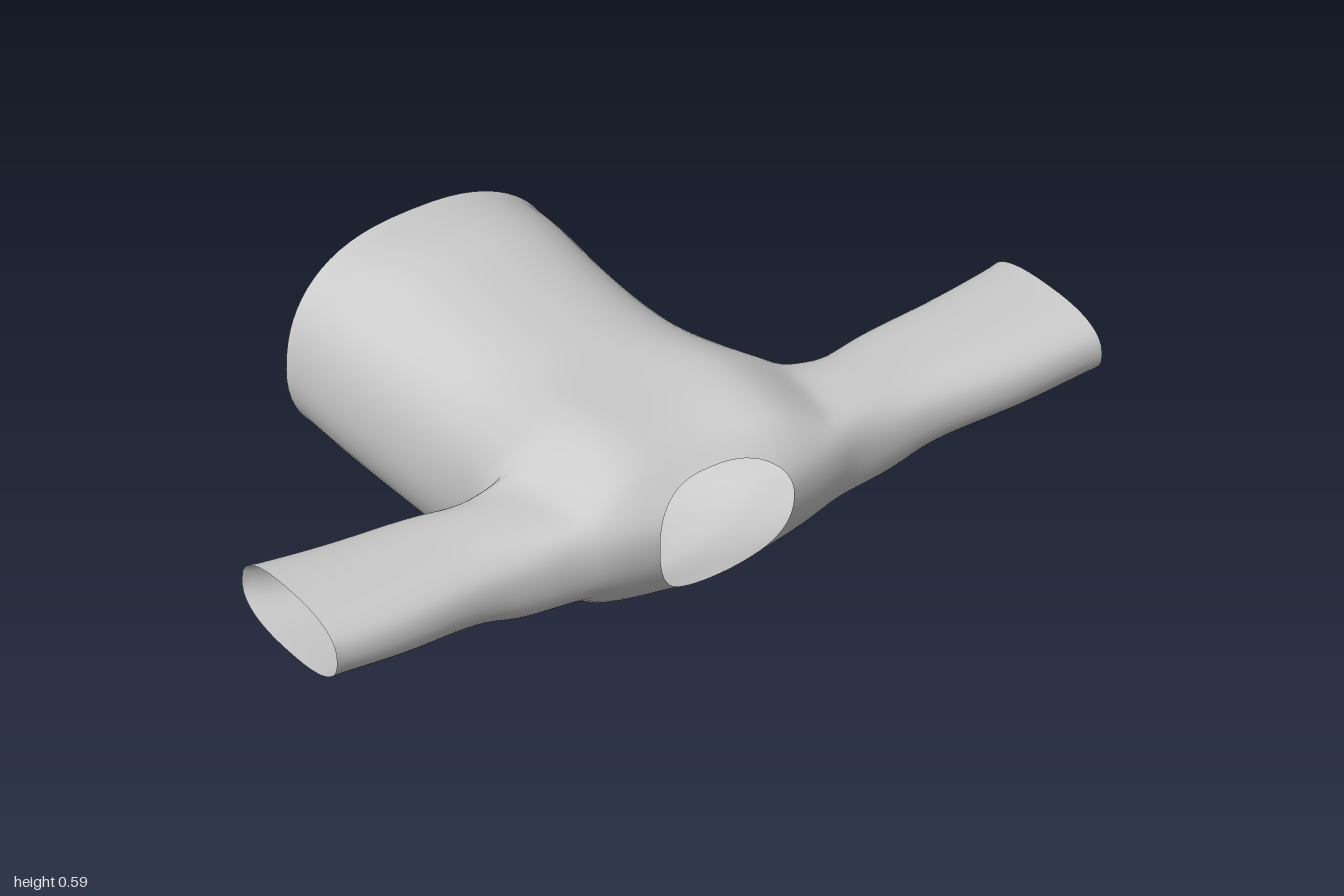
import * as THREE from 'three';

const AROUND = 64;        // segments around the torso
const STEPS = 5;          // rows between two torso sections
const SLEEVE_STEPS = 6;   // rows between two sleeve sections
const HOLE = { r0: 6 * STEPS, r1: 9 * STEPS, j0: -5, j1: 6 }; // armhole cells

// torso sections, hem to neck: x at top, side, bottom; y top, bottom, widest; half width
const TORSO = [
  [-0.585, -0.55, -0.575, 0.575, 0.05, 0.32, 0.35],
  [-0.45, -0.45, -0.45, 0.59, 0.035, 0.31, 0.345],
  [-0.30, -0.30, -0.30, 0.58, 0.01, 0.31, 0.333],
  [-0.10, -0.10, -0.10, 0.58, 0.003, 0.31, 0.325],
  [0.05, 0.05, 0.05, 0.585, 0.035, 0.33, 0.335],
  [0.17, 0.17, 0.16, 0.588, 0.075, 0.35, 0.375],
  [0.26, 0.25, 0.26, 0.588, 0.10, 0.38, 0.405],
  [0.36, 0.36, 0.33, 0.585, 0.135, 0.39, 0.395],
  [0.43, 0.46, 0.39, 0.57, 0.17, 0.40, 0.385],
  [0.48, 0.54, 0.45, 0.55, 0.205, 0.41, 0.35],
  [0.52, 0.575, 0.505, 0.53, 0.232, 0.415, 0.175],
];

// sleeve sections, armhole to cuff: z, x min, x max, y min, y max
const SLEEVE = [
  [0.47, 0.23, 0.53, 0.285, 0.507],
  [0.60, 0.205, 0.527, 0.318, 0.503],
  [0.80, 0.19, 0.545, 0.335, 0.507],
  [1.00, 0.17, 0.547, 0.355, 0.515],
];

const power = (v, e) => Math.sign(v) * Math.abs(v) ** (2 / e);

// smooth interpolation through a list of number rows
function sample(rows, t) {
  const i = Math.min(Math.floor(t), rows.length - 2), f = t - i;
  const at = (k) => rows[Math.max(0, Math.min(rows.length - 1, k))];
  return rows[0].map((_, c) => {
    const [a, b, d, e] = [at(i - 1)[c], at(i)[c], at(i + 1)[c], at(i + 2)[c]];
    return b + 0.5 * f * (d - a + f * (2 * a - 5 * b + 4 * d - e + f * (3 * (b - d) + e - a)));
  });
}

function torsoPoint(row, j) {
  const [xt, xs, xb, yt, yb, yc, w] = sample(TORSO, row / STEPS);
  const a = (j / AROUND) * Math.PI * 2, c = Math.cos(a), s = Math.sin(a);
  const e = s > 0 ? 2.5 : 2.05;
  const x = xs + ((s > 0 ? xt : xb) - xs) * s * s;
  const z = w * power(c, e);
  let y = yc + (s > 0 ? yt - yc : yc - yb) * power(s, e);
  // raised shoulders on either side of the neck
  const rise = THREE.MathUtils.smoothstep(x, 0, 0.3) * (1 - THREE.MathUtils.smoothstep(row, 44, 50));
  if (s > 0) y += 0.022 * s * rise * Math.exp(-(((Math.abs(z) - 0.18) / 0.08) ** 2));
  return [x, y, z];
}

function sleevePoint([z, x0, x1, y0, y1], a) {
  const c = power(Math.cos(a), 2.5), s = power(Math.sin(a), 2.5);
  const cuff = z > 0.9 ? 0.02 * (1 - c) / 2 : 0;
  return [(x0 + x1) / 2 + (x1 - x0) / 2 * c, (y0 + y1) / 2 + (y1 - y0) / 2 * s, z - cuff];
}

// relax the cloth, keeping the open edges fixed
function relax(points, index, rounds) {
  const near = points.map(() => new Map());
  const link = (a, b) => near[a].set(b, (near[a].get(b) || 0) + 1);
  for (let i = 0; i < index.length; i += 3) {
    for (let k = 0; k < 3; k++) {
      const a = index[i + k], b = index[i + (k + 1) % 3];
      link(a, b);
      link(b, a);
    }
  }
  const fixed = near.map((m) => [...m.values()].some((n) => n < 2));
  for (let r = 0; r < rounds; r++) {
    const old = points.map((p) => [...p]);
    points.forEach((p, i) => {
      if (fixed[i] || near[i].size === 0) return;
      for (let c = 0; c < 3; c++) {
        let sum = 0;
        for (const n of near[i].keys()) sum += old[n][c];
        p[c] = 0.5 * old[i][c] + 0.5 * sum / near[i].size;
      }
    });
  }
}

export function createModel() {
  const points = [];
  const rows = (TORSO.length - 1) * STEPS;
  const id = (r, j) => r * AROUND + (j + AROUND) % AROUND;
  const parts = { torso: [], leftSleeve: [], rightSleeve: [] };

  // torso tube with the two armholes left open
  for (let r = 0; r <= rows; r++) for (let j = 0; j < AROUND; j++) points.push(torsoPoint(r, j));
  const inHole = (r, j) => r >= HOLE.r0 && r < HOLE.r1 && j >= HOLE.j0 && j < HOLE.j1;
  for (let r = 0; r < rows; r++) {
    for (let k = 0; k < AROUND; k++) {
      const j = k < AROUND * 0.75 ? k : k - AROUND;
      if (inHole(r, j) || inHole(r, AROUND / 2 - 1 - j)) continue;
      const a = id(r, j), b = id(r + 1, j), c = id(r + 1, j + 1), d = id(r, j + 1);
      parts.torso.push(a, b, c, a, c, d);
    }
  }

  // armhole outline, counter-clockwise from the underarm
  const loop = [];
  for (let r = HOLE.r0; r < HOLE.r1; r++) loop.push([r, HOLE.j0]);
  for (let j = HOLE.j0; j < HOLE.j1; j++) loop.push([HOLE.r1, j]);
  for (let r = HOLE.r1; r > HOLE.r0; r--) loop.push([r, HOLE.j1]);
  for (let j = HOLE.j1; j > HOLE.j0; j--) loop.push([HOLE.r0, j]);

  // sleeves grow out of the armhole edge
  for (const [name, side] of [['leftSleeve', 1], ['rightSleeve', -1]]) {
    let previous = loop.map(([r, j]) => id(r, side > 0 ? j : AROUND / 2 - j));
    const tracks = loop.map(([r, j]) => {
      const p = torsoPoint(r, j);
      const a = Math.atan2((p[1] - 0.39) / 0.125, (p[0] - 0.395) / 0.15);
      return [p, ...SLEEVE.map((section) => sleevePoint(section, a))];
    });
    for (let k = 1; k <= SLEEVE.length * SLEEVE_STEPS; k++) {
      const ring = tracks.map((track) => {
        const [x, y, z] = sample(track, k / SLEEVE_STEPS);
        return points.push([x, y, z * side]) - 1;
      });
      ring.forEach((d, i) => {
        const n = (i + 1) % ring.length;
        const a = previous[i], b = previous[n], c = ring[n];
        parts[name].push(...(side > 0 ? [a, b, c, a, c, d] : [a, c, b, a, d, c]));
      });
      previous = ring;
    }
  }

  const all = Object.values(parts).flat();
  relax(points, all, 4);
  const cloth = new THREE.BufferGeometry();
  cloth.setAttribute('position', new THREE.Float32BufferAttribute(points.flat(), 3));
  cloth.setIndex(all);
  cloth.computeVertexNormals();

  // separate parts share points and normals, so the seams stay smooth
  const group = new THREE.Group();
  group.name = 'shirt';
  const material = new THREE.MeshStandardMaterial({ color: 0xcccccc, side: THREE.DoubleSide });
  for (const [name, index] of Object.entries(parts)) {
    const geometry = cloth.clone();
    geometry.setIndex(index);
    const mesh = new THREE.Mesh(geometry, material);
    mesh.name = name;
    group.add(mesh);
  }
  return group;
}
